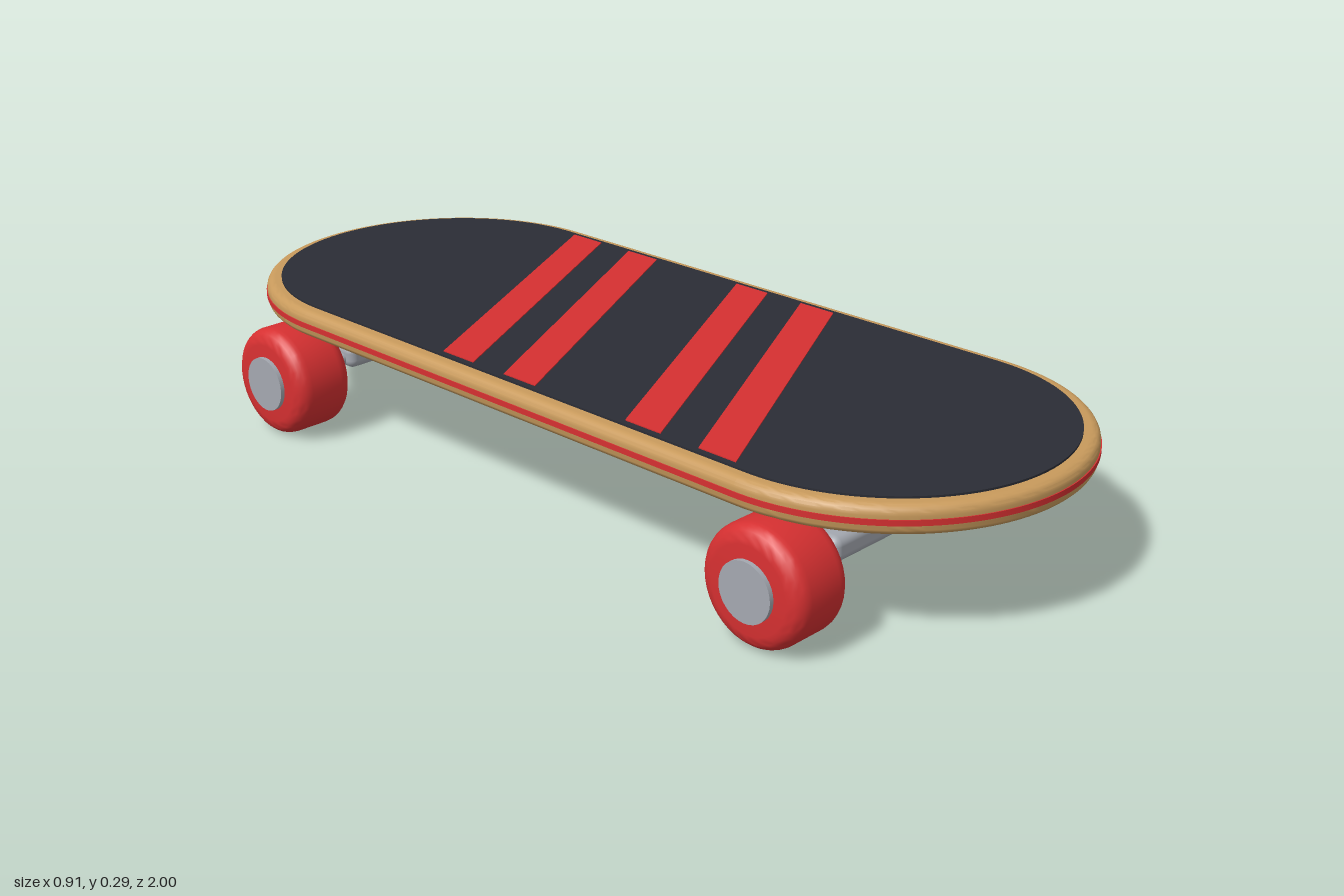
import * as THREE from 'three';
import { toCreasedNormals } from 'three/addons/utils/BufferGeometryUtils.js';
import { RoundedBoxGeometry } from 'three/addons/geometries/RoundedBoxGeometry.js';

const mat = (color) => new THREE.MeshStandardMaterial({ color });
const wood = mat(0xc89a5c), red = mat(0xd63031), grip = mat(0x2b2d35);
const metal = mat(0xa4a8b0), plate = mat(0x636872);

function add(parent, name, geometry, material, x = 0, y = 0, z = 0) {
  const mesh = new THREE.Mesh(geometry, material);
  mesh.name = name;
  mesh.position.set(x, y, z);
  parent.add(mesh);
  return mesh;
}

// Horizontal slab with rounded ends, from y0 to y1, with rounded edges
function slab(halfWidth, halfLength, y0, y1, bevel) {
  const r = halfWidth - bevel, c = halfLength - halfWidth;
  const shape = new THREE.Shape();
  shape.absarc(0, c, r, 0, Math.PI);
  shape.absarc(0, -c, r, Math.PI, Math.PI * 2);
  shape.closePath();
  const geo = new THREE.ExtrudeGeometry(shape, {
    depth: y1 - y0 - 2 * bevel, curveSegments: 40,
    bevelEnabled: bevel > 0, bevelThickness: bevel, bevelSize: bevel, bevelSegments: 5,
  });
  geo.rotateX(-Math.PI / 2).translate(0, y0 + bevel, 0);
  return toCreasedNormals(geo, 0.6);
}

// Solid of revolution along x with rounded rims
function roundedRoller(radius, width, bevel) {
  const pts = [new THREE.Vector2(0, -width / 2)];
  for (const side of [-1, 1]) {
    for (let i = 0; i <= 6; i++) {
      const a = (side < 0 ? i / 6 - 1 : i / 6) * Math.PI / 2;
      pts.push(new THREE.Vector2(
        radius - bevel + Math.cos(a) * bevel,
        side * (width / 2 - bevel) + Math.sin(a) * bevel));
    }
  }
  pts.push(new THREE.Vector2(0, width / 2));
  return toCreasedNormals(new THREE.LatheGeometry(pts, 40).rotateZ(-Math.PI / 2), 0.6);
}

const rod = (radius, length, sides = 32) =>
  new THREE.CylinderGeometry(radius, radius, length, sides).rotateZ(Math.PI / 2);

// Slanted stripe across the grip, cut off parallel to the board's sides
function stripe(z) {
  const w = 0.353, rise = 0.181, h = 0.044;
  const shape = new THREE.Shape([
    new THREE.Vector2(-w, -rise - h), new THREE.Vector2(w, rise - h),
    new THREE.Vector2(w, rise + h), new THREE.Vector2(-w, -rise + h),
  ]);
  return new THREE.ExtrudeGeometry(shape, { depth: 0.004, bevelEnabled: false })
    .rotateX(-Math.PI / 2).translate(0, 0.287, z);
}

function truck(z) {
  const group = new THREE.Group();
  group.position.z = z;
  add(group, 'basePlate', new RoundedBoxGeometry(0.18, 0.022, 0.13, 2, 0.004), plate, 0, 0.221);
  add(group, 'post', new THREE.CylinderGeometry(0.032, 0.032, 0.08, 32), metal, 0, 0.175);
  add(group, 'hanger', new RoundedBoxGeometry(0.496, 0.052, 0.06, 4, 0.018), metal, 0, 0.125);
  add(group, 'axle', rod(0.013, 0.8, 20), metal, 0, 0.119);
  for (const side of [-1, 1]) {
    const wheel = new THREE.Group();
    wheel.name = side > 0 ? 'leftWheel' : 'rightWheel';
    wheel.position.set(side * 0.377, 0.117, 0);
    add(wheel, 'tyre', roundedRoller(0.116, 0.138, 0.032), red);
    add(wheel, 'hubCap', rod(0.058, 0.03), metal, side * 0.063);
    group.add(wheel);
  }
  return group;
}

export function createModel() {
  const model = new THREE.Group();
  model.name = 'skateboard';

  // Deck with a coloured middle ply
  add(model, 'deck', slab(0.398, 0.998, 0.228, 0.285, 0.018), wood);
  add(model, 'middlePly', slab(0.4, 1, 0.25, 0.261, 0), red);

  // Grip surface and stripes
  add(model, 'gripTape', slab(0.366, 0.966, 0.282, 0.289, 0), grip);
  for (const z of [-0.343, -0.167, 0.16, 0.34]) add(model, 'stripe', stripe(z), red);

  // Trucks with wheels
  for (const side of [-1, 1]) {
    const t = truck(side * 0.678);
    t.name = side > 0 ? 'frontTruck' : 'backTruck';
    model.add(t);
  }
  return model;
}
